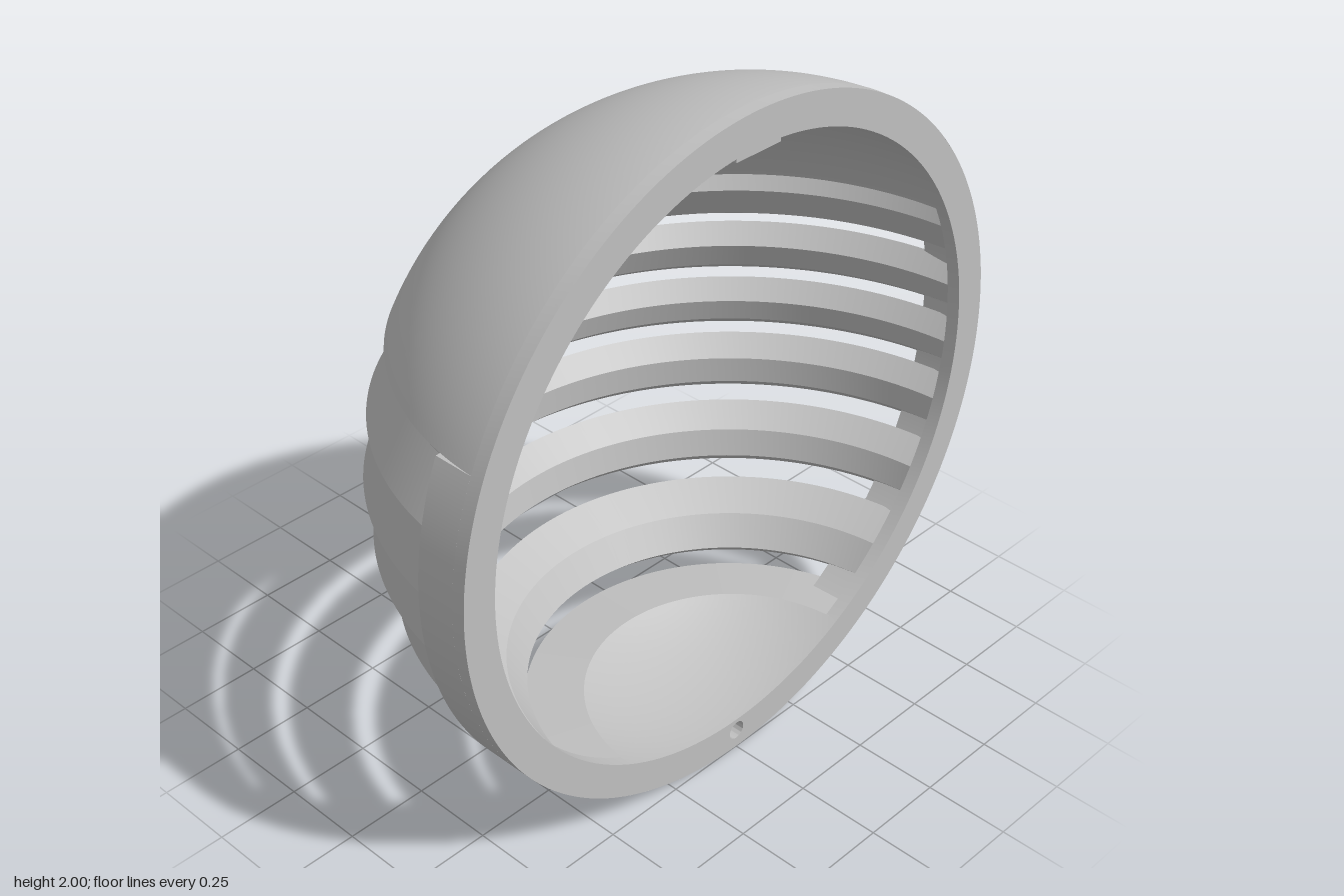
import * as THREE from 'three';
import { toCreasedNormals } from 'three/addons/utils/BufferGeometryUtils.js';

const CY = 1, CZ = 0.5, R = 1, RI = 0.9, R_HIGH = 0.915, R_LOW = 0.943, SEG = 128;
const ball = (r, y) => Math.sqrt(r * r - (y - CY) ** 2);
const outer = y => ball(R, y) - 0.002;

// Points along a circular arc of the shell's cross-section, between two heights
function arc(r, y0, y1, n) {
  const a0 = Math.asin((y0 - CY) / r), a1 = Math.asin((y1 - CY) / r);
  return Array.from({ length: n + 1 }, (_, i) => {
    const a = a0 + (a1 - a0) * i / n;
    return [Math.max(0, r * Math.cos(a)), CY + r * Math.sin(a)];
  });
}

// Split the straight runs of a profile into short steps
function subdivide(points, step) {
  const out = [points[0]];
  for (let i = 1; i < points.length; i++) {
    const [a, b] = [points[i - 1], points[i]];
    const n = Math.ceil(Math.hypot(b[0] - a[0], b[1] - a[1]) / step);
    for (let k = 1; k <= n; k++) out.push([a[0] + (b[0] - a[0]) * k / n, a[1] + (b[1] - a[1]) * k / n]);
  }
  return out;
}

// Radius of a run of profile points (ordered by rising height) at height y
function radiusAt(points, y) {
  for (let i = 1; i < points.length; i++) {
    const [[r0, y0], [r1, y1]] = [points[i - 1], points[i]];
    if (y <= y1) return r0 + (r1 - r0) * Math.max(0, (y - y0) / (y1 - y0));
  }
  return points[points.length - 1][0];
}

// Half turn of a profile around the vertical axis, behind the rim
function halfTurn(points) {
  const g = new THREE.LatheGeometry(points.map(p => new THREE.Vector2(...p)), SEG, Math.PI / 2, Math.PI);
  return g.translate(0, 0, CZ);
}

// Cut a round hole along z: drop faces inside it and pull the border onto the circle
function drill(g, cy, r) {
  const p = g.attributes.position, inside = [], keep = [];
  for (let i = 0; i < p.count; i++) {
    const x = p.getX(i), y = p.getY(i) - cy, d = Math.hypot(x, y);
    inside[i] = d < r && p.getZ(i) < 0.4;
    if (inside[i] && d > 1e-6) p.setXY(i, x * r / d, cy + y * r / d);
  }
  for (let i = 0; i < g.index.count; i += 3) {
    const t = [0, 1, 2].map(k => g.index.getX(i + k));
    if (!t.every(v => inside[v])) keep.push(...t);
  }
  g.setIndex(keep);
  return g;
}

export function createModel() {
  const group = new THREE.Group();
  const grey = new THREE.MeshStandardMaterial({ color: 0xc0c0c0, side: THREE.DoubleSide });
  grey.name = 'light grey';
  const add = (name, geometry) => {
    const mesh = new THREE.Mesh(toCreasedNormals(geometry, 0.3), grey);
    mesh.name = name;
    group.add(mesh);
  };

  // Upper and lower caps of the hollow half ball
  add('topCap', halfTurn([...arc(R, 1.38, 2, 40), ...arc(RI, 1.9, 1.41, 32), [outer(1.38), 1.38]]));
  add('bottomCap', drill(halfTurn([...arc(R, 0, 0.198, 70), ...arc(RI, 0.21, 0.1, 30)]), 0.06, 0.036));

  // The highest slat tucks under the top cap
  add('slat1', halfTurn([[outer(1.19), 1.19], [0.903, 1.345], [0.903, 1.4], [0.88, 1.4],
    [ball(R_HIGH, 1.33), 1.33], [ball(R_LOW, 1.225), 1.225], [outer(1.19), 1.19]]));

  // Louvre slats with a sloped top and drip edge: [bottom y, top y, outer radius at top]
  const slats = [
    [1.0, 1.18, 0.95], [0.82, 0.99, 0.955], [0.63, 0.81, 0.935],
    [0.43, 0.61, 0.87], [0.225, 0.41, 0.75],
  ].map(([y0, y1, rTop]) => {
    const low = y0 + 0.038, high = y1 - 0.06;
    const tip = [outer(y0), y0], ridge = [rTop, y1];
    return { front: [tip, ridge], back: [tip, [ball(R_LOW, low), low], [ball(R_HIGH, high), high], ridge] };
  });
  slats.forEach(({ front, back }, i) => {
    const profile = [...front, ...back.slice(0, -1).reverse()];
    const holed = i < 2;
    const g = halfTurn(holed ? subdivide(profile, 0.015) : profile);
    add('slat' + (i + 2), holed ? drill(g, CY, 0.08) : g);
  });

  // Wall of the round hole through the back slats
  const wall = new THREE.CylinderGeometry(0.08, 0.08, 1, 48, 1, true).rotateX(Math.PI / 2);
  const wp = wall.attributes.position;
  for (let i = 0; i < wp.count; i++) {
    const x = wp.getX(i), y = wp.getY(i) + CY;
    const slat = slats[y >= 1 ? 0 : 1];
    const r = radiusAt(wp.getZ(i) > 0 ? slat.back : slat.front, y);
    wp.setXYZ(i, x, y, CZ - Math.sqrt(r * r - x * x));
  }
  add('backHoleWall', wall);

  // Thin side bands that hold the slat ends, cut level at the caps
  const bottom = -0.8, top = 0.38, bandInner = 0.95;
  for (const [name, s] of [['leftRimBand', 1], ['rightRimBand', -1]]) {
    const angle = (h, r) => s > 0 ? Math.asin(h / r) : Math.PI - Math.asin(h / r);
    const band = new THREE.Shape();
    band.absarc(0, CY, R, angle(bottom, R), angle(top, R), s < 0);
    band.absarc(0, CY, bandInner, angle(top, bandInner), angle(bottom, bandInner), s > 0);
    band.closePath();
    add(name, new THREE.ExtrudeGeometry(band, { depth: 0.12, bevelEnabled: false, curveSegments: 48 })
      .translate(0, 0, CZ - 0.16));
  }

  // Flat front rim with its pin hole
  const face = new THREE.Shape().absarc(0, CY, R, 0, Math.PI * 2);
  face.holes.push(new THREE.Path().absarc(0, CY, RI, 0, Math.PI * 2, true));
  face.holes.push(new THREE.Path().absarc(0, 0.06, 0.028, 0, Math.PI * 2, true));
  add('rim', new THREE.ExtrudeGeometry(face, { depth: 0.04, bevelEnabled: false, curveSegments: 96 })
    .translate(0, 0, CZ - 0.04));

  // Pin hole flaring back to the underside, with a narrower collar inside
  const bore = new THREE.CylinderGeometry(0.028, 0.036, 1, 32, 1, true).rotateX(Math.PI / 2);
  const bp = bore.attributes.position;
  for (let i = 0; i < bp.count; i++) {
    const x = bp.getX(i), y = bp.getY(i) + 0.06;
    bp.setXYZ(i, x, y, bp.getZ(i) > 0 ? CZ - 0.04 : CZ - Math.sqrt(R - x * x - (y - CY) ** 2));
  }
  add('pinBore', bore);
  add('pinCollar', new THREE.RingGeometry(0.018, 0.028, 32).translate(0, 0.06, CZ - 0.04));

  // Small flat tab under the top of the rim
  add('topTab', new THREE.BoxGeometry(0.16, 0.035, 0.139).translate(0, 1.9025, CZ - 0.0705));

  return group;
}
